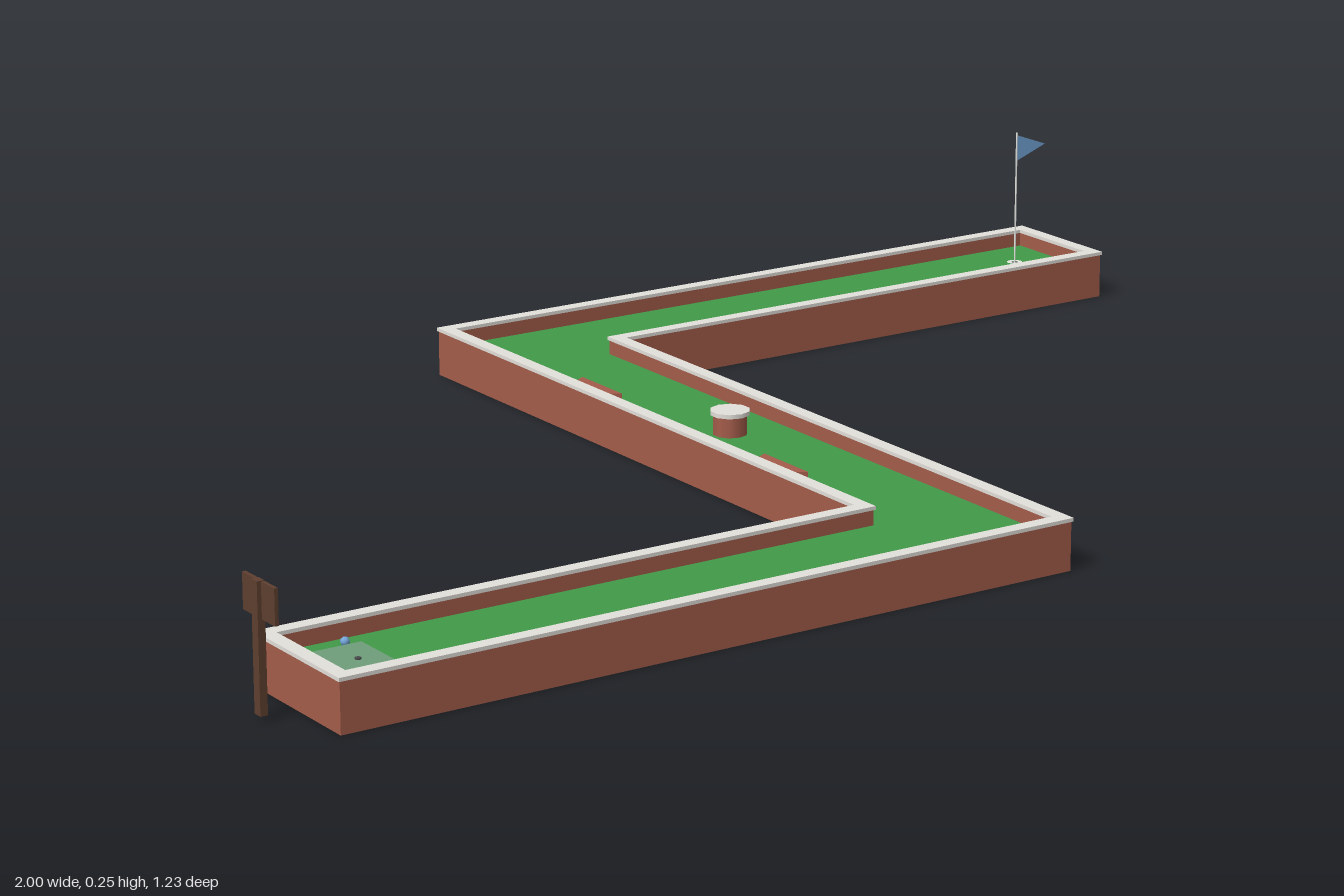
import * as THREE from 'three';

const paint = (name, color, side = THREE.FrontSide) => {
  const m = new THREE.MeshStandardMaterial({ color, side });
  m.name = name;
  return m;
};

// Z-shaped lane outline in (x, z), moved inwards by d
const outline = (d) => [
  [-0.947 + d, 0.616 - d], [0.124 - d, 0.616 - d], [0.124 - d, -0.417 - d], [0.999 - d, -0.417 - d],
  [0.999 - d, -0.617 + d], [-0.074 + d, -0.617 + d], [-0.074 + d, 0.415 + d], [-0.947 + d, 0.415 + d],
].map(([x, z]) => new THREE.Vector2(x, -z));

// Horizontal slab between two heights; an inner inset makes it a frame
function slab(outer, inner, y0, y1) {
  const shape = new THREE.Shape(outline(outer));
  if (inner !== null) shape.holes.push(new THREE.Path(outline(inner)));
  const g = new THREE.ExtrudeGeometry(shape, { depth: y1 - y0, bevelEnabled: false });
  return g.rotateX(-Math.PI / 2).translate(0, y0, 0);
}

export function createModel() {
  const brick = paint('brick', 0xa55d4b);
  const stone = paint('pale stone', 0xe4e1db);
  const turf = paint('turf green', 0x429a48);
  const concrete = paint('grey concrete', 0xa3a09c);
  const matGrey = paint('tee mat', 0x6f9f7b);
  const wood = paint('dark wood', 0x5f4030);
  const blue = paint('blue', 0x74a6d8, THREE.DoubleSide);
  const metal = paint('dark metal', 0x4a4a4c);
  const white = paint('white', 0xf4f4f0);

  const model = new THREE.Group();
  const add = (name, geometry, material, x = 0, y = 0, z = 0) => {
    const mesh = new THREE.Mesh(geometry, material);
    mesh.name = name;
    mesh.position.set(x, y, z);
    model.add(mesh);
    return mesh;
  };
  const box = (name, material, w, h, d, x, y, z) =>
    add(name, new THREE.BoxGeometry(w, h, d), material, x, y, z);

  // Lane
  const floor = 0.045;
  add('laneBase', slab(0.016, null, 0.004, 0.037), concrete);
  add('laneTurf', slab(0.016, null, 0.037, floor), turf);
  add('laneWall', slab(0.002, 0.018, 0, 0.066), brick);
  add('wallCap', slab(0, 0.02, 0.066, 0.071), stone);

  // Wedge bumpers against the left wall
  for (const z of [-0.235, 0.21]) {
    const wedge = new THREE.Shape([[-0.05, 0], [0.05, 0], [0.038, 0.022], [-0.038, 0.022]]
      .map(([a, b]) => new THREE.Vector2(a, b)));
    const g = new THREE.ExtrudeGeometry(wedge, { depth: 0.024, bevelEnabled: false });
    g.rotateX(-Math.PI / 2).rotateY(Math.PI / 2);
    add('sideBumper', g, brick, -0.036, floor, z);
  }

  // Round post in the middle of the lane
  add('postBody', new THREE.CylinderGeometry(0.024, 0.024, 0.03, 10), brick, 0.024, 0.059, -0.008);
  add('postCap', new THREE.CylinderGeometry(0.028, 0.028, 0.006, 10), stone, 0.024, 0.076, -0.008);

  // Tee mat, ball spot and markers
  box('teeMat', matGrey, 0.07, 0.003, 0.105, -0.863, floor + 0.0015, 0.514);
  add('ballSpot', new THREE.CylinderGeometry(0.004, 0.004, 0.002, 12), metal, -0.863, floor + 0.004, 0.514);
  for (const z of [0.456, 0.572]) {
    add('teeMarker', new THREE.SphereGeometry(0.006, 10, 6), blue, -0.847, floor + 0.005, z);
  }

  // Cup, pole and pennant
  const [px, pz] = [0.907, -0.517];
  add('cupRim', new THREE.RingGeometry(0.005, 0.012, 16).rotateX(-Math.PI / 2), white, px, floor + 0.002, pz);
  add('cupHole', new THREE.CircleGeometry(0.0055, 16).rotateX(-Math.PI / 2), metal, px, floor + 0.0015, pz);
  add('flagPole', new THREE.CylinderGeometry(0.0014, 0.0014, 0.207, 8), white, px, 0.1485, pz);
  const pennant = new THREE.Shape([[0, 0.248], [0, 0.207], [0.055, 0.2275]]
    .map(([x, y]) => new THREE.Vector2(x, y)));
  add('flag', new THREE.ShapeGeometry(pennant), blue, px, 0, pz);

  // Sign beside the tee, facing the lane
  const [sx, sz] = [-0.995, 0.517];
  box('signPost', wood, 0.01, 0.165, 0.014, sx, 0.0895, sz);
  box('signBoard', wood, 0.005, 0.046, 0.076, sx + 0.003, 0.148, sz);
  box('signFace', stone, 0.002, 0.04, 0.07, sx + 0.006, 0.148, sz);
  for (const i of [-1, 0, 1]) {
    box('signMark', blue, 0.002, 0.009, 0.01, sx + 0.007, 0.148, sz + i * 0.016);
  }
  return model;
}
